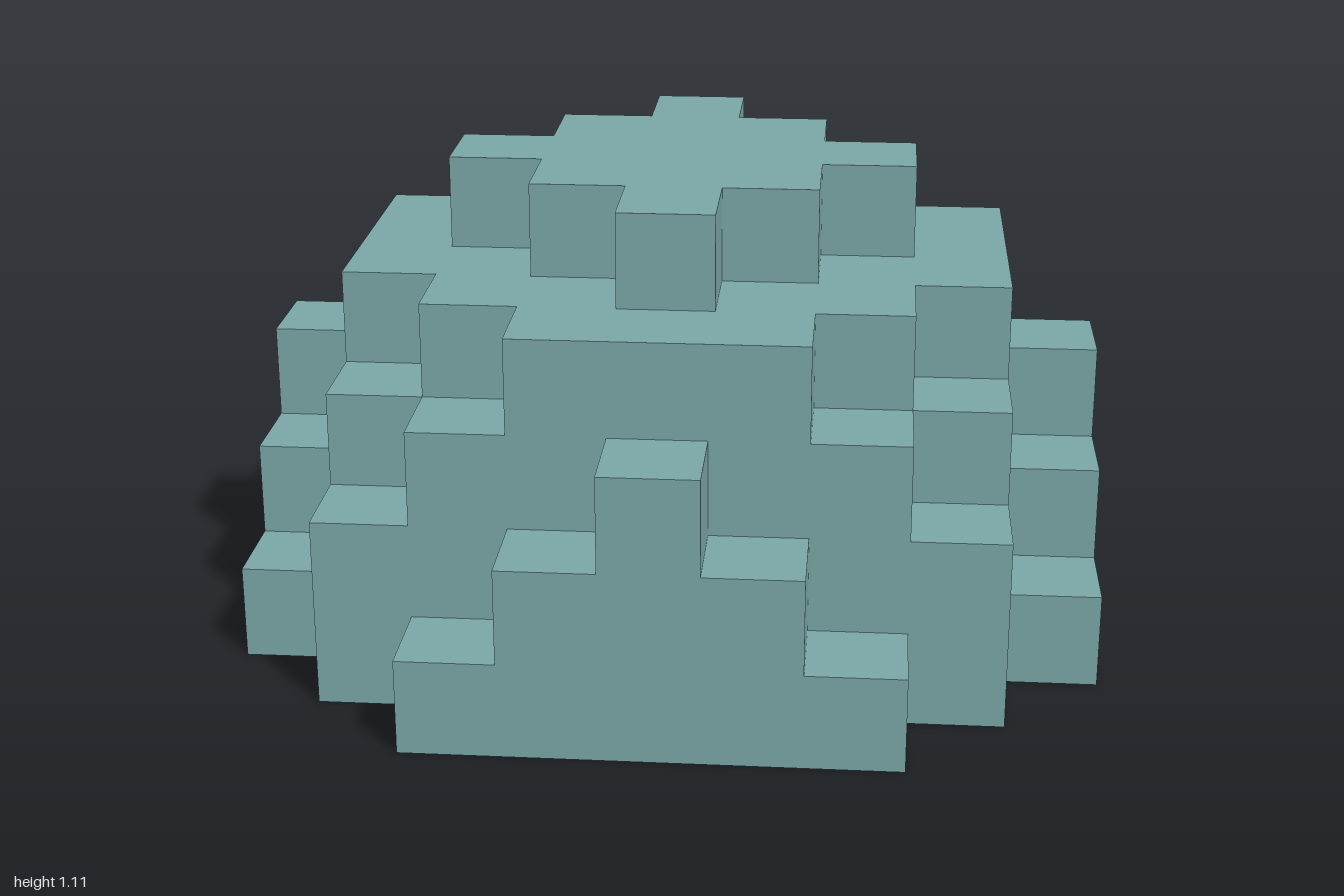
import * as THREE from 'three';
import { mergeGeometries } from 'three/addons/utils/BufferGeometryUtils.js';

const N = 4;                  // cells from the centre to the rim
const CELL = 2 / (2 * N + 1); // edge length of one cube
const RADIUS = N + 0.5;

// A cell is solid when its centre lies inside the half sphere
const solid = (x, y, z) => y >= 0 && x * x + y * y + z * z <= RADIUS * RADIUS;

const FORWARD = new THREE.Vector3(0, 0, 1);
const DIRECTIONS = [[1, 0, 0], [-1, 0, 0], [0, 1, 0], [0, -1, 0], [0, 0, 1], [0, 0, -1]];

// One square facing along each axis direction, on the skin of a cube
const SIDES = DIRECTIONS.map((d) => {
  const normal = new THREE.Vector3(...d);
  const turn = new THREE.Quaternion().setFromUnitVectors(FORWARD, normal);
  const square = new THREE.PlaneGeometry(CELL, CELL).applyQuaternion(turn);
  return square.translate(...normal.multiplyScalar(CELL / 2).toArray());
});

// Keeps only the cube faces that border on empty space
function blockDome() {
  const faces = [];
  for (let y = 0; y <= N; y++)
    for (let x = -N; x <= N; x++)
      for (let z = -N; z <= N; z++) {
        if (!solid(x, y, z)) continue;
        DIRECTIONS.forEach(([dx, dy, dz], i) => {
          if (solid(x + dx, y + dy, z + dz)) return;
          faces.push(SIDES[i].clone().translate(x * CELL, (y + 0.5) * CELL, z * CELL));
        });
      }
  return mergeGeometries(faces);
}

export function createModel() {
  const group = new THREE.Group();
  group.name = 'steppedDome';
  const material = new THREE.MeshStandardMaterial({ color: 0x7ba7a7, flatShading: true });
  const dome = new THREE.Mesh(blockDome(), material);
  dome.name = 'blockDome';
  group.add(dome);
  return group;
}
